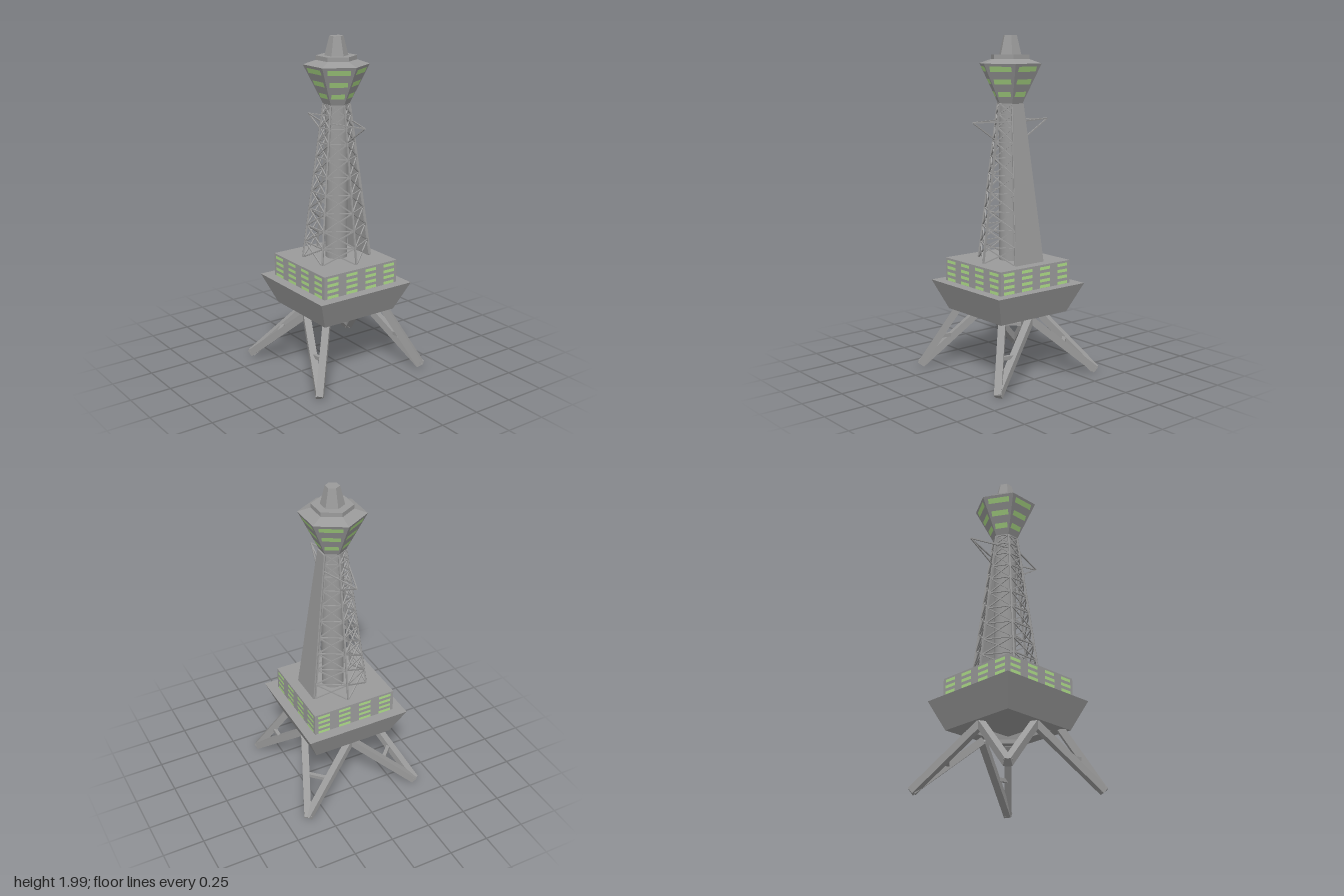
import * as THREE from 'three';

const V = (x, y, z) => new THREE.Vector3(x, y, z);
const grey = new THREE.MeshStandardMaterial({ color: 0x9a9a9a });
const flat = new THREE.MeshStandardMaterial({ color: 0x9a9a9a, flatShading: true });
const green = new THREE.MeshStandardMaterial({ color: 0xaedd88 });

function add(parent, name, geometry, material = flat) {
  const mesh = new THREE.Mesh(geometry, material);
  mesh.name = name;
  parent.add(mesh);
  return mesh;
}

function group(parent, name) {
  const g = new THREE.Group();
  g.name = name;
  parent.add(g);
  return g;
}

// Square bar between two points of the parent's space
function bar(parent, name, a, b, w) {
  const mesh = add(parent, name, new THREE.BoxGeometry(w, w, a.distanceTo(b)));
  mesh.position.copy(a).add(b).multiplyScalar(0.5);
  const turn = new THREE.Matrix4().lookAt(b, a, V(0, 1, 0));
  mesh.quaternion.setFromRotationMatrix(turn);
}

// Faceted solid of revolution; radii are corner radii
function prism(parent, name, profile, sides, phi = 0) {
  const pts = profile.map(([r, y]) => new THREE.Vector2(r, y));
  const geo = new THREE.LatheGeometry(pts, sides, phi).toNonIndexed();
  geo.computeVertexNormals();
  add(parent, name, geo);
}

// Each foot has a strut to the middle of a deck flank; the second strut
// goes to the deck corner at the front and to the middle of the back behind
function addLegs(root) {
  for (const sx of [-1, 1]) for (const sz of [-1, 1]) {
    const leg = group(root, sz > 0 ? 'frontLeg' : 'backLeg');
    const foot = V(0.374 * sx, 0.022, 0.374 * sz);
    const tops = [V(0.21 * sx, 0.362, 0),
      sz > 0 ? V(0.21 * sx, 0.38, 0.21) : V(0, 0.362, -0.21)];
    for (const top of tops) bar(leg, 'legStrut', foot, top, 0.042);
    const mids = tops.map((t) => foot.clone().lerp(t, 0.5));
    bar(leg, 'legBrace', mids[0], mids[1], 0.022);
  }
}

// Flared deck with a recessed underside, and the square storey on it
function addBase(root) {
  const q = Math.SQRT2;
  prism(root, 'deck', [[0, 0.42], [0.17 * q, 0.42], [0.17 * q, 0.375], [0.25 * q, 0.375],
    [0.324 * q, 0.55], [0, 0.55]], 4, Math.PI / 4);
  add(root, 'storey', new THREE.BoxGeometry(0.524, 0.14, 0.524)).position.y = 0.618;
  const pane = new THREE.PlaneGeometry(0.078, 0.018);
  for (let side = 0; side < 4; side++) {
    const face = group(root, 'storeyWindows');
    face.rotation.y = side * Math.PI / 2;
    for (const y of [0.56, 0.595, 0.631, 0.667])
      for (const x of [-0.203, -0.068, 0.068, 0.203])
        add(face, 'window', pane, green).position.set(x, y, 0.2635);
  }
}

const Y0 = 0.685, Y1 = 1.61, R0 = 0.202, R1 = 0.077;

// Point on lattice corner k at height y
function corner(k, y) {
  const r = THREE.MathUtils.mapLinear(y, Y0, Y1, R0, R1);
  const a = k * Math.PI / 3;
  return V(r * Math.sin(a), y, r * Math.cos(a));
}

// Tapered hexagonal lattice round a column, one side closed by a panel
function addShaft(tower) {
  const column = add(tower, 'column', new THREE.CylinderGeometry(0.065, 0.065, Y1 - Y0, 24), grey);
  column.position.y = (Y0 + Y1) / 2;

  const lattice = group(tower, 'lattice');
  const levels = [Y0, 0.785, 0.885, 0.99, 1.095, 1.2, 1.3, 1.39, 1.475, 1.55, Y1];
  for (let k = 0; k < 6; k++) {
    bar(lattice, 'cornerPost', corner(k, Y0), corner(k, Y1), 0.01);
    if (k === 1) continue;
    for (let i = 0; i < levels.length - 1; i++) {
      const [a, b] = [levels[i], levels[i + 1]];
      bar(lattice, 'diagonal', corner(k, a), corner(k + 1, b), 0.007);
      bar(lattice, 'diagonal', corner(k + 1, a), corner(k, b), 0.007);
      bar(lattice, 'crossbar', corner(k, b), corner(k + 1, b), 0.007);
    }
  }

  // Leaning trapezoid panel on the +x side
  const shape = new THREE.Shape([[-R0 / 2, Y0], [R0 / 2, Y0], [R1 / 2, Y1], [-R1 / 2, Y1]]
    .map(([x, y]) => new THREE.Vector2(x * 1.04, y)));
  const geo = new THREE.ExtrudeGeometry(shape, { depth: 0.02, bevelEnabled: false });
  geo.rotateY(Math.PI / 2);
  const p = geo.attributes.position;
  for (let i = 0; i < p.count; i++)
    p.setX(i, p.getX(i) - 0.012 + corner(1, p.getY(i)).x);
  geo.computeVertexNormals();
  add(tower, 'panel', geo);

  // Pointed outriggers at front and back
  for (const k of [0, 3]) {
    const outrigger = group(tower, 'outrigger');
    const tip = V(0, 1.51, k ? -0.288 : 0.272);
    bar(outrigger, 'arm', tip, corner(k + 1, 1.51), 0.007);
    bar(outrigger, 'arm', tip, corner(k + 5, 1.51), 0.007);
    bar(outrigger, 'stay', tip, corner(k, 1.4), 0.007);
  }
}

// Hexagonal lookout with window bands, roof step and tapered cap
function addHead(tower) {
  prism(tower, 'lookout', [[0, 1.607], [0.074, 1.607], [0.192, 1.84], [0.118, 1.865], [0, 1.865]], 6);
  prism(tower, 'roofStep', [[0, 1.855], [0.118, 1.855], [0.118, 1.89], [0, 1.89]], 6);
  prism(tower, 'cap', [[0, 1.885], [0.07, 1.885], [0.041, 2], [0, 2]], 6);
  const slope = Math.cos(Math.PI / 6) * (0.192 - 0.074) / 0.233;
  for (let k = 0; k < 6; k++) {
    const face = group(tower, 'lookoutWindows');
    face.rotation.y = (k + 0.5) * Math.PI / 3;
    for (const y of [1.665, 1.737, 1.809]) {
      const apothem = 0.074 * Math.cos(Math.PI / 6) + slope * (y - 1.607);
      const pane = add(face, 'window', new THREE.PlaneGeometry(apothem * 0.86, 0.032), green);
      pane.position.set(0, y, apothem + 0.002);
      pane.rotation.x = Math.atan(slope);
    }
  }
}

export function createModel() {
  const root = new THREE.Group();
  root.name = 'tower';
  addLegs(root);
  addBase(root);
  const tower = group(root, 'shaft');
  tower.position.set(0.016, 0, -0.008);
  addShaft(tower);
  addHead(tower);
  return root;
}
